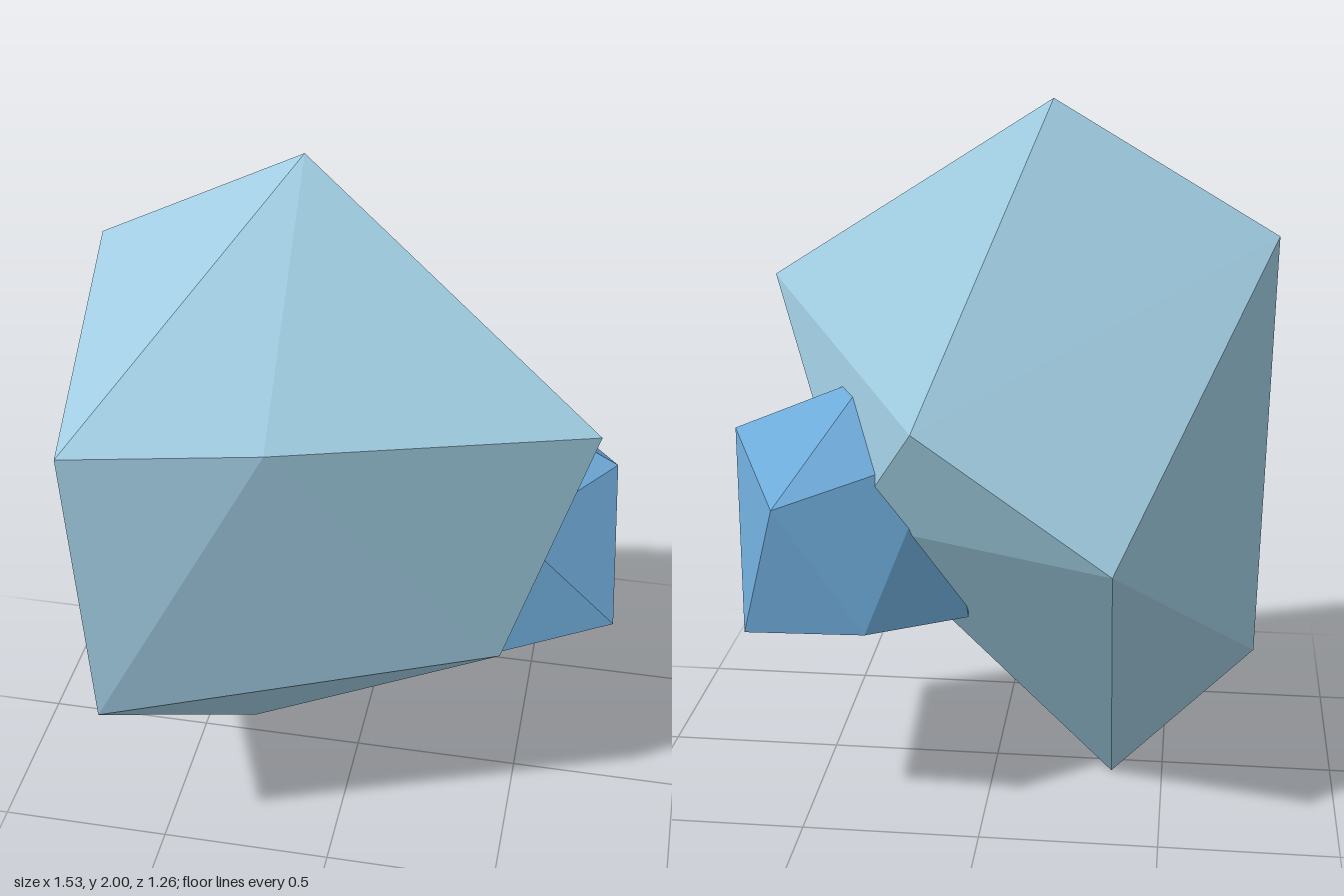
import * as THREE from 'three';

// Faceted stone: two poles joined by two staggered rings of five corners.
function makeStone(name, material, top, upper, lower, bottom) {
  const points = [];
  const face = (...corners) => corners.forEach((c) => points.push(...c));
  for (let i = 0; i < 5; i++) {
    const j = (i + 1) % 5;
    face(top, upper[i], upper[j]);
    face(upper[i], lower[i], upper[j]);
    face(upper[j], lower[i], lower[j]);
    face(bottom, lower[j], lower[i]);
  }
  const geometry = new THREE.BufferGeometry();
  geometry.setAttribute('position', new THREE.Float32BufferAttribute(points, 3));
  geometry.computeVertexNormals();
  const mesh = new THREE.Mesh(geometry, material);
  mesh.name = name;
  return mesh;
}

export function createModel() {
  const paleBlue = new THREE.MeshStandardMaterial({ color: 0x9fcbe0, flatShading: true });
  paleBlue.name = 'pale blue stone';
  const brightBlue = new THREE.MeshStandardMaterial({ color: 0x6eaad8, flatShading: true });
  brightBlue.name = 'bright blue stone';

  const group = new THREE.Group();
  group.name = 'crystalRock';

  // Tall main stone
  group.add(makeStone('mainStone', paleBlue,
    [-0.16, 2, -0.09],
    [[-0.77, 1.66, -0.19], [-0.67, 1.435, 0.615], [-0.14, 1.465, 0.545], [0.69, 1.425, 0.24], [0.17, 1.19, -0.545]],
    [[-0.755, 0.41, -0.06], [-0.62, 0.585, 0.63], [0.46, 0.67, 0.27], [0.375, 0.86, -0.33], [-0.365, 0.85, -0.63]],
    [-0.35, 0, -0.07]));

  // Small stone sunk into its side
  group.add(makeStone('sideStone', brightBlue,
    [0.34, 1.245, -0.21],
    [[0.73, 1.07, -0.16], [0.55, 0.96, -0.525], [0.12, 1.08, -0.35], [0.1, 1.05, 0], [0.47, 1.045, 0.18]],
    [[0.65, 0.58, -0.47], [0.31, 0.6, -0.5], [0.05, 0.58, -0.3], [0.31, 0.58, 0.23], [0.765, 0.7, 0.105]],
    [0.39, 0.5, -0.165]));

  return group;
}
